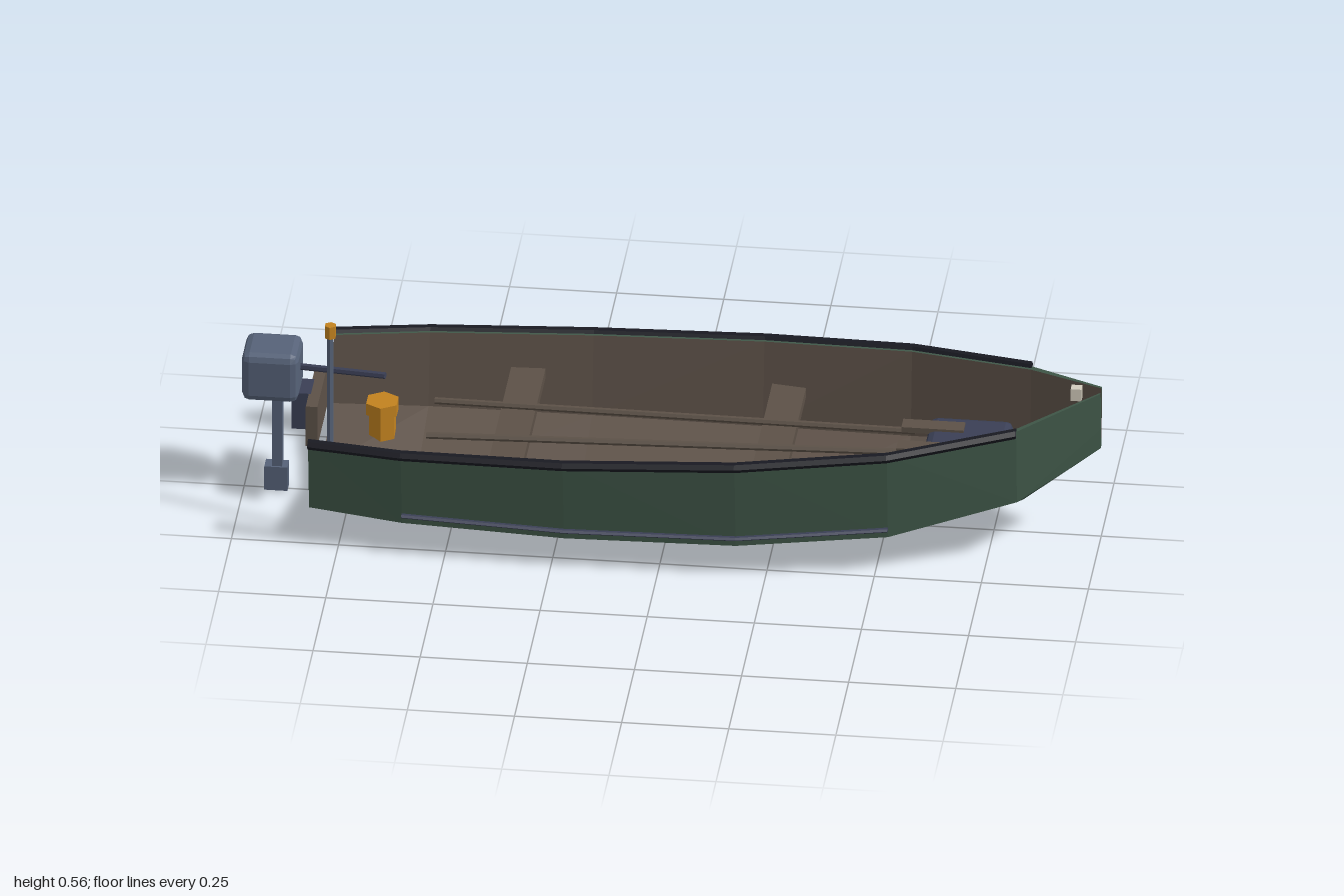
import * as THREE from 'three';
import { RoundedBoxGeometry } from 'three/addons/geometries/RoundedBoxGeometry.js';

const mat = (name, color, side = THREE.FrontSide) => new THREE.MeshStandardMaterial({ name, color, side });

// Hull stations: x, gunwale half width, gunwale y, chine half width, chine y, keel y
const STATIONS = [
  [-0.82, 0.262, 0.275, 0.24, 0.09, 0.045],
  [-0.6, 0.295, 0.278, 0.27, 0.08, 0.014],
  [-0.22, 0.312, 0.286, 0.285, 0.073, 0.0],
  [0.18, 0.302, 0.302, 0.277, 0.075, 0.003],
  [0.53, 0.255, 0.325, 0.233, 0.097, 0.022],
  [0.82, 0.155, 0.353, 0.14, 0.157, 0.087],
  [1.0, 0.017, 0.388, 0.009, 0.29, 0.235],
];

const flat = (g) => {
  const f = g.index ? g.toNonIndexed() : g;
  f.computeVertexNormals();
  return f;
};

// Flat-shaded surface through rows of points
function surface(rows) {
  const pos = [];
  for (let i = 0; i < rows.length - 1; i++) {
    for (let j = 0; j < rows[i].length - 1; j++) {
      const a = rows[i][j], b = rows[i + 1][j], c = rows[i + 1][j + 1], d = rows[i][j + 1];
      for (const p of [a, b, c, a, c, d]) pos.push(...p);
    }
  }
  const g = new THREE.BufferGeometry();
  g.setAttribute('position', new THREE.Float32BufferAttribute(pos, 3));
  g.computeVertexNormals();
  return g;
}

// Hull section from one gunwale under the keel to the other, inset by t
function section([x, gw, gy, cw, cy, ky], t) {
  const g = Math.max(gw - t, 0.01), c = Math.max(cw - t, 0.004);
  return [[x, gy, g], [x, cy + t, c], [x, ky + t, 0], [x, cy + t, -c], [x, gy, -g]];
}

// Capped strip with a six-sided section along a list of points
function strip(points, ry, rz) {
  const ring = ([x, y, z], k) => Array.from({ length: 7 }, (_, i) => {
    const a = -i * Math.PI / 3;
    return [x, y + Math.sin(a) * ry * k, z + Math.cos(a) * rz * k];
  });
  const last = points[points.length - 1];
  return surface([ring(points[0], 0), ...points.map((p) => ring(p, 1)), ring(last, 0)]);
}

export function createModel() {
  const model = new THREE.Group();
  model.name = 'motorBoat';
  const green = mat('hullGreen', 0x41594a, THREE.DoubleSide);
  const brown = mat('innerBrown', 0x5e5249, THREE.DoubleSide);
  const wood = mat('seatWood', 0x5c5147);
  const black = mat('railBlack', 0x191a22, THREE.DoubleSide);
  const dark = mat('darkSlate', 0x3a3f55, THREE.DoubleSide);
  const slate = mat('motorSlate', 0x566278);
  const orange = mat('lampOrange', 0xc2821f);
  const pale = mat('paleFitting', 0xd2cbbc);

  const add = (name, geometry, material, x = 0, y = 0, z = 0) => {
    const m = new THREE.Mesh(geometry, material);
    m.name = name;
    m.position.set(x, y, z);
    model.add(m);
    return m;
  };
  const box = (name, material, x0, x1, y0, y1, z0, z1, bevel = 0) => {
    const s = [x1 - x0, y1 - y0, z1 - z0];
    const g = bevel ? flat(new RoundedBoxGeometry(...s, 1, bevel)) : new THREE.BoxGeometry(...s);
    return add(name, g, material, (x0 + x1) / 2, (y0 + y1) / 2, (z0 + z1) / 2);
  };
  // Flat-sided rod between two points
  const rod = (name, material, a, b, r, sides = 6) => {
    const p = new THREE.Vector3(...a), q = new THREE.Vector3(...b);
    const d = q.clone().sub(p);
    const m = add(name, flat(new THREE.CylinderGeometry(r, r, d.length(), sides)), material);
    m.position.copy(p).add(q).multiplyScalar(0.5);
    m.quaternion.setFromUnitVectors(new THREE.Vector3(0, 1, 0), d.normalize());
    return m;
  };

  // Hull shell, open at the stern and at the narrow bow slot
  const outer = STATIONS.map((s) => section(s, 0));
  const inner = STATIONS.map((s) => section(s, 0.016));
  add('hull', surface(outer), green);
  add('hullLining', surface(inner), brown);
  for (const j of [0, 4]) add('gunwaleTop', surface(outer.map((o, i) => [o[j], inner[i][j]])), green);
  for (const i of [0, 6]) add('hullEndEdge', surface([outer[i], inner[i]]), green);

  // Rub rails and chine strakes on both sides
  for (const s of [1, -1]) {
    const rail = STATIONS.slice(0, 6).map(([x, gw, gy]) => [x, gy - 0.003, s * (gw + 0.003)]);
    add('rubRail', strip(rail, 0.012, 0.014), black);
    const strake = STATIONS.slice(1, 5).map(([x, , , cw, cy]) => [x, cy + 0.023, s * (cw + 0.006)]);
    add('chineStrake', strip(strake, 0.005, 0.01), dark);
  }

  // Bench seats
  box('rearSeat', wood, -0.41, -0.33, 0.175, 0.2, -0.285, 0.285);
  box('frontSeat', wood, 0.2, 0.28, 0.175, 0.2, -0.272, 0.272);

  // Oars resting on the seats
  for (const s of [1, -1]) {
    rod('oarShaft', wood, [-0.565, 0.21, s * 0.082], [0.56, 0.222, s * 0.05], 0.008);
    box('oarBlade', wood, 0.53, 0.675, 0.228, 0.242, s * 0.05 - 0.02, s * 0.05 + 0.02);
  }

  // Storage box and bow fitting
  box('bowBox', dark, 0.59, 0.785, 0.13, 0.236, -0.108, 0.09, 0.018);
  box('bowFitting', pale, 0.93, 0.955, 0.362, 0.393, -0.011, 0.011);

  // Lantern on the floor
  add('lanternBody', flat(new THREE.CylinderGeometry(0.034, 0.034, 0.1, 6)), orange, -0.695, 0.1, -0.148);
  add('lanternCap', flat(new THREE.CylinderGeometry(0.041, 0.041, 0.03, 6)), orange, -0.695, 0.15, -0.148);

  // Stern light on its pole
  rod('lightPole', slate, [-0.775, 0.08, 0.2], [-0.775, 0.53, 0.2], 0.008);
  add('sternLight', flat(new THREE.CylinderGeometry(0.014, 0.014, 0.032, 6)), orange, -0.775, 0.54, 0.2);

  // Outboard motor
  box('motorPad', wood, -0.845, -0.818, 0.17, 0.275, -0.095, 0.095);
  box('motorClamp', dark, -0.885, -0.84, 0.18, 0.275, -0.035, 0.035);
  box('motorHousing', slate, -1, -0.868, 0.258, 0.382, -0.062, 0.062, 0.018);
  box('motorLeg', slate, -0.934, -0.91, 0.04, 0.27, -0.013, 0.013);
  box('motorFoot', slate, -0.951, -0.897, 0.003, 0.065, -0.018, 0.018);
  rod('tiller', dark, [-0.875, 0.327, 0], [-0.665, 0.343, 0.048], 0.008);

  return model;
}
